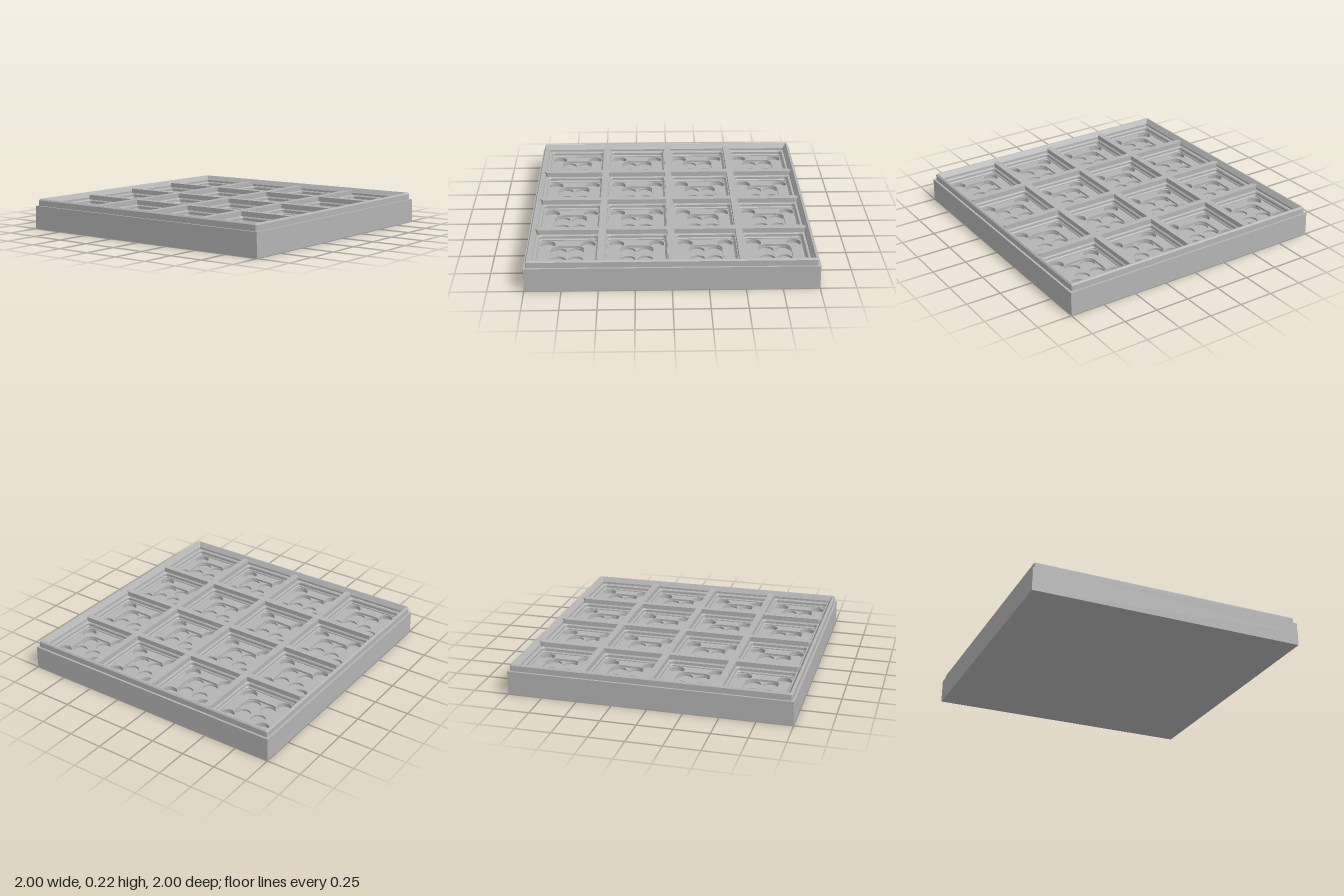
import * as THREE from 'three';

const BASE_TOP = 0.10, RECESS = 0.115, FLOOR = 0.13, DECK = 0.17, RIDGE_TOP = 0.205;
const PITCH = 0.48, POCKET = 0.21;

// Corner-rounded square outline, counter-clockwise
function roundedSquare(half, r, cx = 0, cy = 0) {
  const pts = [];
  const steps = 4;
  for (let c = 0; c < 4; c++) {
    const mid = Math.PI / 4 + c * Math.PI / 2;
    const ox = cx + Math.sign(Math.cos(mid)) * (half - r);
    const oy = cy + Math.sign(Math.sin(mid)) * (half - r);
    for (let i = 0; i <= steps; i++) {
      const a = (c + i / steps) * Math.PI / 2;
      pts.push(new THREE.Vector2(ox + r * Math.cos(a), oy + r * Math.sin(a)));
    }
  }
  return pts;
}

function circleHole(x, y, r) {
  return new THREE.Path().absarc(x, y, r, 0, Math.PI * 2, true);
}

// Horizontal slab from y0 to y1 with holes cut through it
function slab(outline, holes, y0, y1) {
  const shape = new THREE.Shape(outline);
  shape.holes.push(...holes);
  const geo = new THREE.ExtrudeGeometry(shape, { depth: y1 - y0, bevelEnabled: false, curveSegments: 14 });
  return geo.rotateX(-Math.PI / 2).translate(0, y0, 0);
}

// Surface through rounded-square rings given as [half size, corner radius, y]
function loft(rings) {
  const pos = [], idx = [];
  rings.forEach(([half, r, y]) => roundedSquare(half, r).forEach(p => pos.push(p.x, y, -p.y)));
  const n = pos.length / 3 / rings.length;
  for (let k = 0; k < rings.length - 1; k++) {
    for (let j = 0; j < n; j++) {
      const a = k * n + j, b = k * n + (j + 1) % n;
      idx.push(a, b, b + n, a, b + n, a + n);
    }
  }
  const geo = new THREE.BufferGeometry();
  geo.setAttribute('position', new THREE.Float32BufferAttribute(pos, 3));
  geo.setIndex(idx);
  const flat = geo.toNonIndexed();
  flat.computeVertexNormals();
  return flat;
}

export function createModel() {
  const group = new THREE.Group();
  const grey = new THREE.MeshStandardMaterial({ color: 0xb4b4b4 });
  grey.name = 'grey plastic';
  const add = (parent, name, geo) => {
    const mesh = new THREE.Mesh(geo, grey);
    mesh.name = name;
    parent.add(mesh);
    return mesh;
  };
  const centres = [-1.5, -0.5, 0.5, 1.5].map(k => k * PITCH);

  // Solid base and the deck with its sixteen openings
  add(group, 'base', new THREE.BoxGeometry(2, BASE_TOP, 2).translate(0, BASE_TOP / 2, 0));
  const openings = [];
  for (const x of centres) for (const y of centres) {
    openings.push(new THREE.Path(roundedSquare(POCKET, 0.025, x, y)));
  }
  add(group, 'deck', slab(roundedSquare(1, 0.004), openings, BASE_TOP, DECK));

  // Raised stacking rim with chamfered edges
  add(group, 'rim', loft([
    [0.985, 0.012, DECK], [0.985, 0.012, 0.21], [0.977, 0.010, 0.22],
    [0.968, 0.008, 0.22], [0.945, 0.004, 0.185], [0.945, 0.004, DECK],
  ]));

  // Pocket parts, shared by all cells
  const inner = [], outer = [];
  for (const sx of [-1, 1]) for (const sy of [-1, 1]) {
    inner.push(circleHole(sx * 0.06, sy * 0.06, 0.053));
    outer.push(circleHole(sx * 0.14, sy * 0.14, 0.053));
  }
  const outline = roundedSquare(POCKET, 0.025);
  const lowerGeo = slab(outline, [...inner, ...outer], BASE_TOP, RECESS);
  const upperGeo = slab(outline, [new THREE.Path(roundedSquare(0.116, 0.055)), ...outer], RECESS, FLOOR);
  const wallGeo = loft([
    [POCKET, 0.025, DECK], [0.204, 0.022, 0.162], [0.204, 0.022, 0.144],
    [0.197, 0.018, 0.136], [0.197, 0.018, FLOOR],
  ]);
  for (const x of centres) for (const z of centres) {
    const cell = new THREE.Group();
    cell.name = 'pocket';
    cell.position.set(x, 0, z);
    add(cell, 'lowerFloor', lowerGeo);
    add(cell, 'upperFloor', upperGeo);
    add(cell, 'pocketWall', wallGeo);
    group.add(cell);
  }

  // Dividing ridges with pointed ends
  const w = 0.025, tip = 0.96, end = tip - w;
  const ridge = [[-tip, 0], [-end, -w], [end, -w], [tip, 0], [end, w], [-end, w]]
    .map(([x, y]) => new THREE.Vector2(x, y));
  const ridgeGeo = slab(ridge, [], DECK, RIDGE_TOP);
  for (const k of [-PITCH, 0, PITCH]) {
    add(group, 'crossRidge', ridgeGeo).position.z = k;
    const long = add(group, 'longRidge', ridgeGeo);
    long.position.x = k;
    long.rotation.y = Math.PI / 2;
  }
  return group;
}
